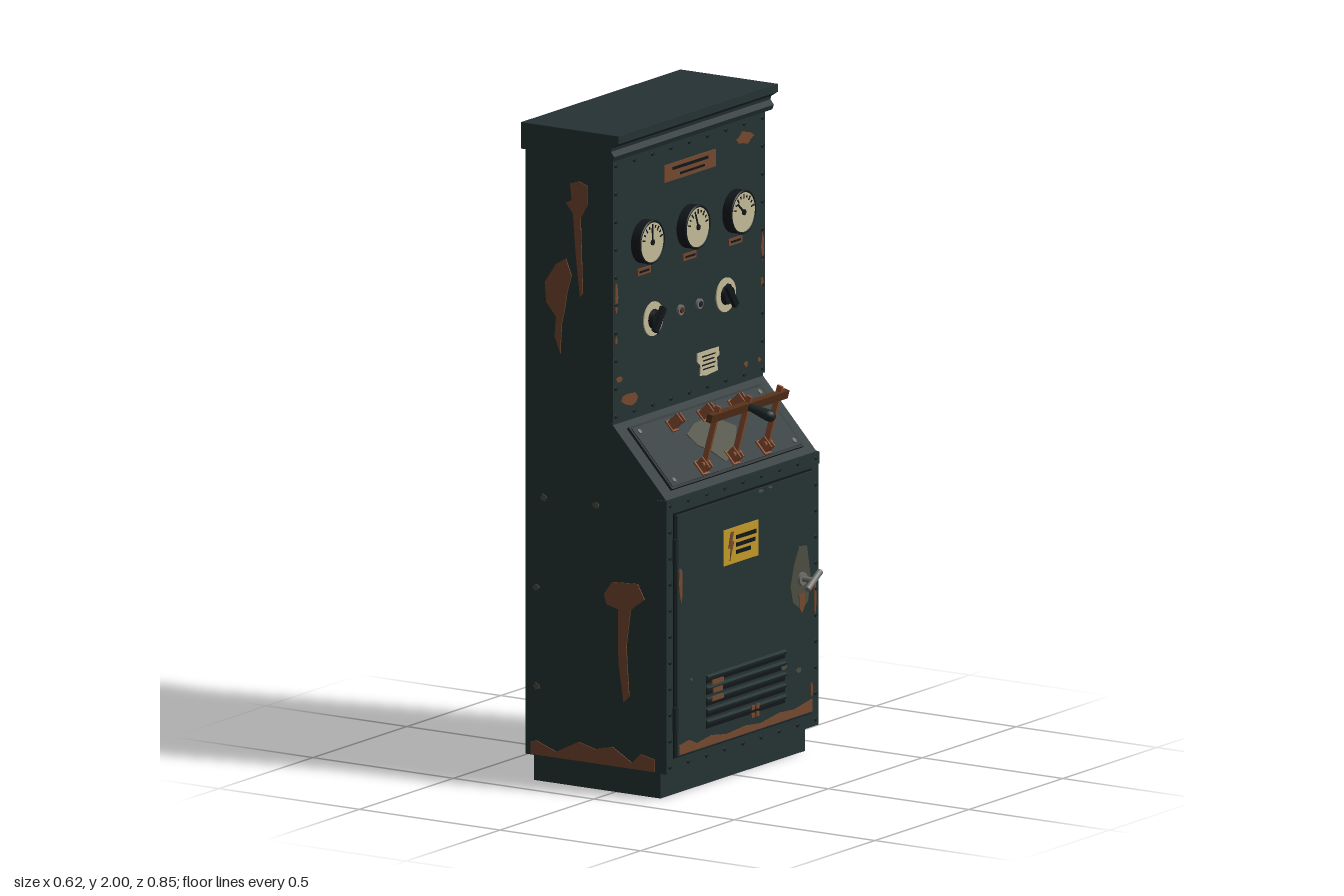
import * as THREE from 'three';

const mat = (name, color) => Object.assign(new THREE.MeshStandardMaterial({ color }), { name });
const M = {
  paint: mat('dark green paint', 0x253233), trim: mat('dark trim', 0x1b2526),
  rust: mat('rust', 0x74482f), black: mat('black', 0x12171a),
  cream: mat('cream', 0xc4ba96), yellow: mat('warning yellow', 0xc39a26),
  copper: mat('copper', 0x8c4f30), wood: mat('brown bar', 0x55301a),
  steel: mat('steel', 0x6f6f6c), worn: mat('worn primer', 0x4b4c40),
};

export function createModel() {
  const root = new THREE.Group();
  root.name = 'controlCabinet';

  const add = (parent, name, geo, material, x = 0, y = 0, z = 0) => {
    const m = new THREE.Mesh(geo, material);
    m.name = name;
    m.position.set(x, y, z);
    parent.add(m);
    return m;
  };
  const box = (p, name, m, w, h, d, x, y, z) => add(p, name, new THREE.BoxGeometry(w, h, d), m, x, y, z);
  // box given by its limits
  const block = (p, name, m, x0, x1, y0, y1, z0, z1) =>
    box(p, name, m, x1 - x0, y1 - y0, z1 - z0, (x0 + x1) / 2, (y0 + y1) / 2, (z0 + z1) / 2);
  // disc or drum whose axis is local z, standing on z
  const drum = (p, name, m, r, d, x, y, z, seg = 28, r2 = r) =>
    add(p, name, new THREE.CylinderGeometry(r2, r, d, seg).rotateX(Math.PI / 2), m, x, y, z + d / 2);
  const poly = (pts) => new THREE.Shape(pts.map(([x, y]) => new THREE.Vector2(x, y)));
  // thin painted patch standing on local z
  const patch = (p, name, m, pts, z = 0, depth = 0.003) =>
    add(p, name, new THREE.ExtrudeGeometry(poly(pts), { depth, bevelEnabled: false }), m, 0, 0, z);
  // small ragged blotch
  const blotch = (p, m, x, y, w, h, z = 0, seed = 1) => {
    const pts = Array.from({ length: 10 }, (_, i) => {
      const a = i / 10 * Math.PI * 2, k = 0.82 + 0.18 * Math.sin(i * 2.4 * seed + seed);
      return [x + Math.cos(a) * w / 2 * k, y + Math.sin(a) * h / 2 * k];
    });
    patch(p, m === M.rust ? 'rustSpot' : 'paintChip', m, pts, z);
  };
  // panel frame: local x runs to the viewer's right, y up, z outward (+x of the model)
  const panel = (name, x, y, tilt = 0) => {
    const g = new THREE.Group();
    g.name = name;
    g.position.set(x, y, 0);
    g.rotation.set(-tilt, Math.PI / 2, 0, 'YXZ');
    root.add(g);
    return g;
  };
  const rivet = (p, x, y, z) => drum(p, 'rivet', M.trim, 0.007, 0.005, x, y, z, 8, 0.005);
  const rivetFrame = (p, w, y0, y1, z, nx, ny) => {
    for (let i = 0; i <= nx; i++) for (const y of [y0, y1]) rivet(p, -w + 2 * w * i / nx, y, z);
    for (let j = 1; j < ny; j++) for (const s of [-1, 1]) rivet(p, s * w, y0 + (y1 - y0) * j / ny, z);
  };

  // Cabinet shell, plinth and crown
  const shell = poly([[-0.31, 0.08], [0.19, 0.08], [0.19, 0.91], [0, 1.115], [0, 1.93], [-0.31, 1.93]]);
  add(root, 'cabinetBody', new THREE.ExtrudeGeometry(shell, { depth: 0.8, bevelEnabled: false }), M.paint, 0, 0, -0.4);
  block(root, 'plinth', M.paint, -0.29, 0.16, 0, 0.08, -0.385, 0.385);
  const crown = poly([[-0.31, 1.92], [0.016, 1.92], [0.022, 1.935], [0.01, 1.95], [0.012, 1.96],
    [0.03, 1.972], [0.037, 1.976], [0.037, 2], [-0.31, 2]]);
  add(root, 'crown', new THREE.ExtrudeGeometry(crown, { depth: 0.85, bevelEnabled: false }), M.paint, 0, 0, -0.425);

  // Rust on both sides
  const sideRust = [
    [[-0.165, 1.77], [-0.145, 1.78], [-0.15, 1.83], [-0.12, 1.84], [-0.09, 1.83], [-0.09, 1.77], [-0.113, 1.73],
      [-0.105, 1.5], [-0.115, 1.49], [-0.13, 1.62], [-0.14, 1.74]],
    [[-0.2, 1.58], [-0.165, 1.6], [-0.145, 1.55], [-0.16, 1.5], [-0.17, 1.44], [-0.18, 1.4], [-0.185, 1.31],
      [-0.205, 1.36], [-0.2, 1.42], [-0.235, 1.46], [-0.24, 1.52]],
    [[-0.03, 0.6], [0, 0.64], [0.09, 0.645], [0.115, 0.6], [0.08, 0.575], [0.065, 0.56], [0.05, 0.45],
      [0.06, 0.3], [0.04, 0.28], [0.022, 0.4], [0.02, 0.56], [-0.02, 0.57]],
    [[-0.29, 0.082], [0.15, 0.082], [0.15, 0.12], [0.1, 0.13], [0.07, 0.1], [0, 0.14], [-0.06, 0.125],
      [-0.12, 0.14], [-0.2, 0.1], [-0.27, 0.125], [-0.29, 0.12]],
  ];
  for (const z of [0.4, -0.403]) {
    sideRust.forEach((pts) => patch(root, 'sideRust', M.rust, pts, z));
    [[-0.245, 0.865], [-0.06, 0.865], [-0.27, 0.59], [-0.27, 0.29]].forEach(([x, y], i) =>
      blotch(root, M.worn, x, y, 0.025, 0.025, z, i + 1));
  }

  // Upper instrument panel
  const up = panel('instrumentPanel', 0, 0);
  block(up, 'instrumentPlate', M.paint, -0.405, 0.405, 1.125, 1.92, -0.01, 0.004);
  rivetFrame(up, 0.39, 1.14, 1.9, 0.004, 8, 9);
  [-0.243, 0, 0.243].forEach((x, i) => {
    const g = new THREE.Group();
    g.name = 'gauge';
    g.position.set(x, 1.645, 0.004);
    up.add(g);
    drum(g, 'gaugeHousing', M.black, 0.066, 0.03, 0, 0, 0, 36);
    add(g, 'gaugeRim', new THREE.TorusGeometry(0.063, 0.004, 8, 36), M.black, 0, 0, 0.03);
    drum(g, 'gaugeFace', M.cream, 0.06, 0.002, 0, 0, 0.03, 36);
    for (let k = 0; k < 9; k++) {
      const a = Math.PI * (0.08 + 0.84 * k / 8);
      box(g, 'tick', M.black, k % 2 ? 0.008 : 0.014, 0.004, 0.002, Math.cos(a) * 0.048, Math.sin(a) * 0.048, 0.033).rotation.z = a;
    }
    const a = [0.05, 0.35, 0.85][i];
    box(g, 'needle', M.black, 0.006, 0.05, 0.002, -Math.sin(a) * 0.02, Math.cos(a) * 0.02, 0.034).rotation.z = a;
    drum(g, 'needleHub', M.black, 0.009, 0.004, 0, 0, 0.032, 12);
    box(up, 'gaugeLabel', M.rust, 0.07, 0.021, 0.004, x, 1.555, 0.006);
    box(up, 'labelLine', M.black, 0.05, 0.006, 0.002, x, 1.555, 0.009);
  });
  box(up, 'namePlate', M.rust, 0.275, 0.052, 0.005, 0, 1.827, 0.006);
  box(up, 'namePlateLine', M.black, 0.19, 0.009, 0.002, 0, 1.837, 0.009);
  box(up, 'namePlateLine', M.black, 0.13, 0.007, 0.002, 0.01, 1.816, 0.009);
  for (const s of [-1, 1]) {
    drum(up, 'selectorDial', M.cream, 0.052, 0.004, s * 0.193, 1.4, 0.004);
    drum(up, 'selectorKnob', M.black, 0.03, 0.014, s * 0.193, 1.4, 0.008, 24, 0.026);
    box(up, 'selectorGrip', M.black, 0.02, 0.08, 0.014, s * 0.193, 1.4, 0.027).rotation.z = s * 0.6;
    drum(up, 'lampBezel', M.steel, 0.016, 0.008, s * 0.05, 1.4, 0.004, 16);
    drum(up, 'lampLens', s < 0 ? M.wood : M.trim, 0.012, 0.012, s * 0.05, 1.4, 0.004, 16, 0.008);
  }
  // Torn paper note
  patch(up, 'paperNote', M.cream, [[0.04, 1.25], [0.155, 1.25], [0.158, 1.225], [0.145, 1.22], [0.15, 1.18], [0.09, 1.175],
    [0.055, 1.18], [0.058, 1.21], [0.04, 1.225]], 0.004);
  for (let i = 0; i < 4; i++) box(up, 'noteLine', M.black, 0.07 - 0.012 * (i % 2), 0.004, 0.001, 0.1, 1.235 - i * 0.013, 0.0075);
  [[0.295, 1.857, 0.1, 0.045], [-0.32, 1.18, 0.09, 0.05], [-0.388, 1.5, 0.018, 0.13], [0.388, 1.51, 0.018, 0.1],
    [-0.37, 1.25, 0.04, 0.02], [0.3, 1.17, 0.025, 0.02], [-0.39, 1.37, 0.014, 0.03], [0.385, 1.4, 0.014, 0.04], [0.37, 1.17, 0.02, 0.015]]
    .forEach(([x, y, w, h], i) => blotch(up, M.rust, x, y, w, h, 0.004, i + 1));

  // Sloped switch deck
  const deck = panel('switchDeck', 0.19, 0.91, Math.atan(0.19 / 0.205));
  block(deck, 'deckPlate', M.trim, -0.35, 0.35, 0.025, 0.255, 0, 0.008);
  block(deck, 'deckInset', M.paint, -0.342, 0.342, 0.033, 0.247, 0.008, 0.01);
  for (const x of [-0.32, 0.32]) for (const y of [0.05, 0.23]) drum(deck, 'deckScrew', M.steel, 0.008, 0.004, x, y, 0.01, 10);
  patch(deck, 'wornPatch', M.worn, [[-0.125, 0.175], [-0.06, 0.2], [0, 0.205], [0.06, 0.19], [0.115, 0.15], [0.07, 0.11],
    [0.03, 0.07], [-0.04, 0.055], [-0.07, 0.1], [-0.11, 0.13]], 0.01, 0.002);
  for (const x of [-0.165, 0, 0.165]) {
    for (const s of [-1, 1]) {
      box(deck, 'hingeJaw', M.copper, 0.005, 0.04, 0.035, x + s * 0.008, 0.06, 0.026);
      box(deck, 'clipJaw', M.copper, 0.005, 0.03, 0.05, x + s * 0.008, 0.215, 0.034);
    }
    box(deck, 'hingeFoot', M.copper, 0.035, 0.05, 0.006, x, 0.06, 0.012);
    box(deck, 'clipFoot', M.copper, 0.03, 0.04, 0.006, x, 0.215, 0.012);
    drum(deck, 'hingePin', M.copper, 0.008, 0.04, 0, 0, 0, 10).rotation.y = Math.PI / 2;
    deck.children.at(-1).position.set(x, 0.06, 0.032);
    box(root, 'switchBlade', M.copper, 0.018, 0.195, 0.009, 0.193, 1.062, x).rotation.z = -0.27;
  }
  box(root, 'switchCrossbar', M.wood, 0.018, 0.026, 0.41, 0.213, 1.125, 0).rotation.z = -0.27;
  const grip = new THREE.LatheGeometry([[0, 0], [0.011, 0], [0.012, 0.02], [0.018, 0.075], [0.016, 0.09], [0.009, 0.097], [0, 0.098]]
    .map(([r, h]) => new THREE.Vector2(r, h)), 20);
  add(root, 'switchHandle', grip, M.trim, 0.213, 1.124, 0).rotation.z = -Math.PI / 2 - 0.24;

  // Lower cabinet front and door
  const low = panel('lowerFront', 0.19, 0);
  block(low, 'lowerPlate', M.paint, -0.405, 0.405, 0.08, 0.91, -0.012, 0.004);
  block(low, 'topFlange', M.paint, -0.408, 0.408, 0.872, 0.908, -0.03, 0.006);
  rivetFrame(low, 0.388, 0.1, 0.892, 0.005, 8, 10);
  block(low, 'doorShadowGap', M.black, -0.368, 0.364, 0.122, 0.865, 0.004, 0.006);
  block(low, 'door', M.paint, -0.362, 0.358, 0.128, 0.859, 0.006, 0.015);
  for (const y of [0.24, 0.75]) {
    add(low, 'doorHinge', new THREE.CylinderGeometry(0.009, 0.009, 0.075, 12), M.trim, -0.367, y, 0.012);
  }
  const dz = 0.015;
  for (let i = 0; i < 5; i++) {
    box(low, 'louverSlot', M.black, 0.42, 0.015, 0.002, 0, 0.192 + i * 0.034, dz);
    box(low, 'louverHood', M.paint, 0.42, 0.01, 0.012, 0, 0.204 + i * 0.034, dz + 0.002).rotation.x = 0.5;
  }
  for (let i = 0; i < 3; i++) box(low, 'louverRust', M.rust, 0.06 - 0.01 * (i % 2), 0.014, 0.004, -0.16, 0.272 + i * 0.025, dz + 0.008);
  for (const x of [0.027, 0.053]) for (const y of [0.182, 0.205]) box(low, 'louverRust', M.rust, 0.016, 0.014, 0.004, x, y, dz + 0.008);

  // Warning sign
  box(low, 'warningSign', M.yellow, 0.185, 0.108, 0.004, -0.028, 0.714, dz + 0.002);
  patch(low, 'signBolt', M.rust, [[-0.085, 0.757], [-0.07, 0.757], [-0.078, 0.728], [-0.068, 0.728], [-0.09, 0.672],
    [-0.085, 0.71], [-0.098, 0.71]], dz + 0.004, 0.002);
  for (const [w, y] of [[0.105, 0.737], [0.1, 0.714], [0.075, 0.692]])
    box(low, 'signLine', M.black, w, 0.012, 0.002, -0.055 + w / 2, y, dz + 0.005);

  // T-handle with worn paint around it
  patch(low, 'wornPatch', M.worn, [[0.285, 0.645], [0.325, 0.64], [0.335, 0.59], [0.345, 0.54], [0.33, 0.47], [0.295, 0.45],
    [0.25, 0.48], [0.237, 0.53], [0.255, 0.59]], dz, 0.002);
  patch(low, 'handleRust', M.rust, [[0.28, 0.5], [0.31, 0.5], [0.31, 0.46], [0.295, 0.44], [0.282, 0.46]], dz + 0.002, 0.002);
  drum(low, 'handleCollar', M.steel, 0.02, 0.01, 0.295, 0.545, dz, 20);
  drum(low, 'handleShaft', M.steel, 0.009, 0.05, 0.295, 0.545, dz, 14);
  add(low, 'handleBar', new THREE.CylinderGeometry(0.01, 0.01, 0.08, 14), M.steel, 0.295, 0.545, 0.061).rotation.z = -1.0;

  // Door rust
  patch(low, 'doorBottomRust', M.rust, [[-0.355, 0.132], [0.353, 0.132], [0.353, 0.17], [0.26, 0.155], [0.18, 0.16], [0.08, 0.147],
    [0, 0.155], [-0.1, 0.148], [-0.18, 0.16], [-0.26, 0.15], [-0.3, 0.168], [-0.355, 0.16]], dz);
  [[-0.348, 0.65, 0.02, 0.14], [0.35, 0.2, 0.014, 0.06]].forEach(([x, y, w, h], i) => blotch(low, M.rust, x, y, w, h, dz, i + 2));
  blotch(low, M.rust, 0.385, 0.47, 0.014, 0.13, 0.004, 3);
  [[0.08, 0.852, 0.03, 0.012], [0.13, 0.853, 0.02, 0.01], [0.205, 0.295, 0.035, 0.025], [0.28, 0.27, 0.03, 0.02], [-0.29, 0.35, 0.012, 0.01]]
    .forEach(([x, y, w, h], i) => blotch(low, M.worn, x, y, w, h, dz, i + 1));

  return root;
}
